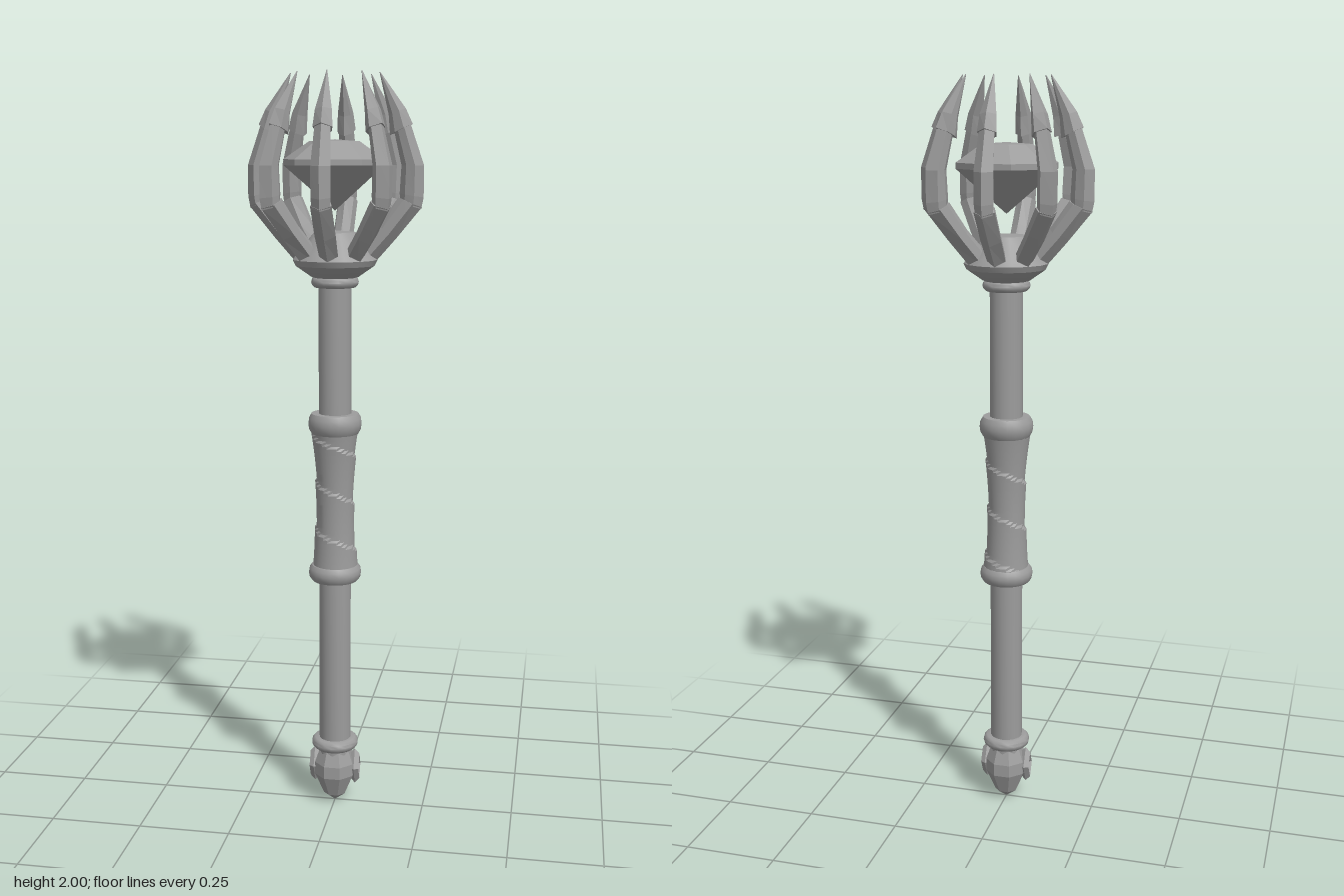
import * as THREE from 'three';
import { toCreasedNormals } from 'three/addons/utils/BufferGeometryUtils.js';

const stone = new THREE.MeshStandardMaterial({ color: 0x9c9c9c });
stone.name = 'grey stone';

function part(name, geometry, crease = 0.6) {
  const mesh = new THREE.Mesh(toCreasedNormals(geometry, crease), stone);
  mesh.name = name;
  return mesh;
}

// Turned part from [radius, y] pairs, listed bottom to top
function turned(name, profile, sides = 20, crease = 0.6) {
  const points = profile.map(([r, y]) => new THREE.Vector2(r, y));
  return part(name, new THREE.LatheGeometry(points, sides), crease);
}

// Rounded collar around the shaft
function collar(name, y, r, half) {
  return turned(name, [
    [0.04, y - half], [r - 0.009, y - half], [r - 0.002, y - half * 0.55], [r, y],
    [r - 0.002, y + half * 0.55], [r - 0.009, y + half], [0.04, y + half],
  ], 20, 0.9);
}

// Six-sided faceted loft; each row is [outer r, outer y, inner r, inner y, half width]
function clawLoft(name, rows) {
  const outline = [[0, 0], [0.35, 1], [0.75, 0.75], [1, 0], [0.75, -0.75], [0.35, -1]];
  const rings = rows.map(([ro, yo, ri, yi, w]) => outline.map(([t, s]) =>
    [ro + (ri - ro) * t, yo + (yi - yo) * t, s * w]));
  const n = outline.length;
  const pos = [];
  const tri = (a, b, c) => pos.push(...a, ...b, ...c);
  for (let i = 0; i < rings.length - 1; i++) {
    for (let j = 0; j < n; j++) {
      const k = (j + 1) % n;
      tri(rings[i][j], rings[i + 1][j], rings[i + 1][k]);
      tri(rings[i][j], rings[i + 1][k], rings[i][k]);
    }
  }
  const last = rings[rings.length - 1];
  for (let j = 1; j < n - 1; j++) {
    tri(rings[0][0], rings[0][j], rings[0][j + 1]);
    tri(last[0], last[j + 1], last[j]);
  }
  const g = new THREE.BufferGeometry();
  g.setAttribute('position', new THREE.Float32BufferAttribute(pos, 3));
  return part(name, g, 0.05);
}

// Waisted grip with a spiral wrap whose strips overlap in small steps
function wrappedGrip() {
  const y0 = 0.69, y1 = 1.08, pitch = 0.13;
  const g = new THREE.CylinderGeometry(1, 1, y1 - y0, 28, 60, true);
  g.translate(0, (y0 + y1) / 2, 0);
  const p = g.attributes.position;
  for (let i = 0; i < p.count; i++) {
    const y = p.getY(i);
    const angle = Math.atan2(p.getX(i), p.getZ(i));
    const turns = y / pitch + angle / (2 * Math.PI);
    const strip = turns - Math.floor(turns);
    const waist = (2 * y - y0 - y1) / (y1 - y0);
    const r = 0.048 + 0.012 * waist * waist + 0.005 * strip;
    p.setXYZ(i, Math.sin(angle) * r, y, Math.cos(angle) * r);
  }
  return part('wrappedGrip', g, 0.5);
}

export function createModel() {
  const model = new THREE.Group();
  model.name = 'scepter';

  // Handle
  model.add(
    turned('shaft', [[0.044, 0.15], [0.044, 1.48]], 16),
    collar('lowerCollar', 0.18, 0.065, 0.015),
    collar('gripLowerRim', 0.68, 0.072, 0.022),
    collar('gripUpperRim', 1.095, 0.072, 0.027),
    collar('upperCollar', 1.472, 0.063, 0.014),
    wrappedGrip(),
  );

  // Faceted pommel with a diamond frame on each side
  const pommel = turned('pommel', [
    [0, 0], [0.032, 0.025], [0.058, 0.085], [0.058, 0.12], [0.04, 0.17], [0, 0.17],
  ], 8, 0.05);
  pommel.rotation.y = Math.PI / 8;
  model.add(pommel);
  for (const side of [1, -1]) {
    const frame = part('pommelDiamondFrame', new THREE.TorusGeometry(0.026, 0.01, 4, 4), 0.05);
    frame.rotation.y = side * Math.PI / 2;
    frame.scale.set(0.75, 1.45, 1.3);
    frame.position.set(side * 0.057, 0.107, 0);
    model.add(frame);
  }

  // Cup that carries the claws
  model.add(turned('cup', [
    [0.044, 1.48], [0.062, 1.485], [0.105, 1.515], [0.112, 1.53],
    [0.1, 1.545], [0.055, 1.6], [0, 1.605],
  ], 16, 0.4));

  // Floating cut gem
  model.add(turned('gem', [
    [0, 1.655], [0.133, 1.77], [0.133, 1.785], [0.067, 1.83], [0, 1.835],
  ], 9, 0.15));

  // Ring of eight claws, each in overlapping segments
  for (let i = 0; i < 8; i++) {
    const claw = new THREE.Group();
    claw.name = 'claw';
    claw.add(
      clawLoft('clawBase', [
        [0.098, 1.515, 0.06, 1.56, 0.024],
        [0.16, 1.585, 0.115, 1.62, 0.027],
        [0.226, 1.665, 0.165, 1.69, 0.027],
      ]),
      clawLoft('clawMiddle', [
        [0.224, 1.66, 0.17, 1.68, 0.023],
        [0.23, 1.69, 0.168, 1.7, 0.025],
        [0.23, 1.77, 0.172, 1.77, 0.025],
        [0.19, 1.885, 0.15, 1.865, 0.019],
      ]),
      clawLoft('clawTip', [
        [0.2, 1.872, 0.142, 1.845, 0.025],
        [0.182, 1.91, 0.138, 1.895, 0.021],
        [0.116, 2.0, 0.114, 1.999, 0.001],
      ]),
    );
    claw.rotation.y = i * Math.PI / 4;
    model.add(claw);
  }

  return model;
}
